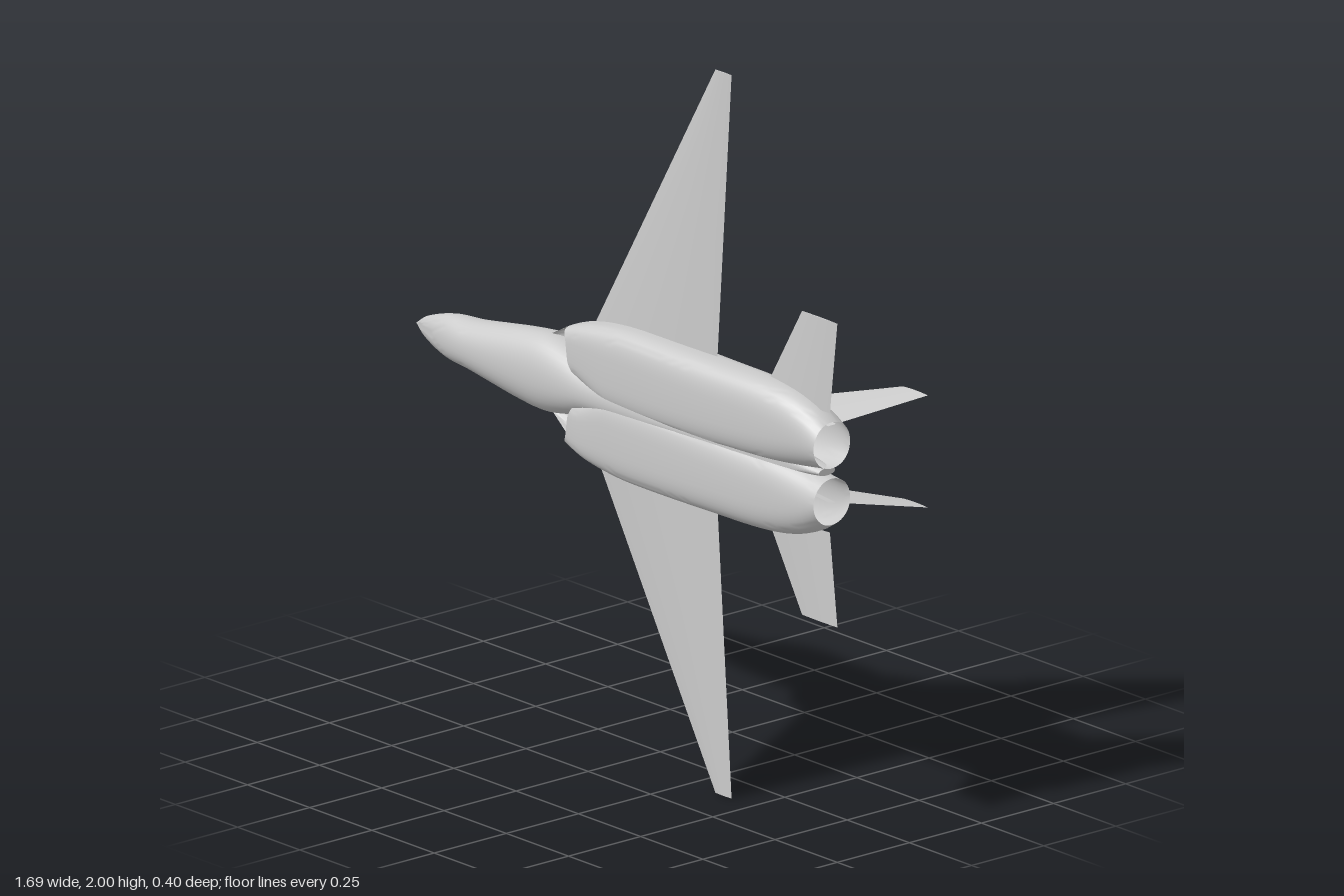
import * as THREE from 'three';
import { toCreasedNormals } from 'three/addons/utils/BufferGeometryUtils.js';

const MID = 0.115; // height (z) of the wing plane; the belly faces +z, the nose points to -x

// Smooth curve through [x, value] pairs (cubic Hermite)
function curve(...pts) {
  const slope = (i) => {
    const a = pts[Math.max(i - 1, 0)], b = pts[Math.min(i + 1, pts.length - 1)];
    return (b[1] - a[1]) / (b[0] - a[0]);
  };
  return (x) => {
    let i = 0;
    while (i < pts.length - 2 && x > pts[i + 1][0]) i++;
    const [x0, v0] = pts[i], [x1, v1] = pts[i + 1], h = x1 - x0;
    const t = THREE.MathUtils.clamp((x - x0) / h, 0, 1), t2 = t * t, t3 = t2 * t;
    return (2 * t3 - 3 * t2 + 1) * v0 + (t3 - 2 * t2 + t) * h * slope(i)
      + (3 * t2 - 2 * t3) * v1 + (t3 - t2) * h * slope(i + 1);
  };
}

// Skin a list of closed rings of [x, y, z]
function loft(rings, crease = 0.7) {
  const n = rings[0].length, index = [];
  for (let i = 0; i < rings.length - 1; i++) {
    for (let j = 0; j < n; j++) {
      const k = (j + 1) % n;
      const a = i * n + j, d = i * n + k, b = a + n, c = d + n;
      index.push(a, d, b, b, d, c);
    }
  }
  const g = new THREE.BufferGeometry();
  g.setAttribute('position', new THREE.Float32BufferAttribute(rings.flat(2), 3));
  g.setIndex(index);
  return toCreasedNormals(g, crease);
}

const spow = (v, p) => Math.sign(v) * Math.abs(v) ** p;

// Slender central body, running on between the engines
function fuselageGeometry() {
  const width = curve([-0.845, 0], [-0.8, 0.03], [-0.7, 0.06], [-0.6, 0.068], [-0.5, 0.083], [-0.4, 0.098],
    [-0.3, 0.106], [-0.2, 0.09], [-0.1, 0.065], [0.1, 0.06], [0.5, 0.045], [0.8, 0.01]);
  const top = curve([-0.845, 0.113], [-0.8, 0.092], [-0.7, 0.068], [-0.6, 0.047], [-0.4, 0.02], [-0.25, 0.001],
    [-0.1, 0.012], [0, 0.021], [0.2, 0.029], [0.5, 0.042], [0.8, 0.085]);
  const bottom = curve([-0.845, 0.117], [-0.8, 0.134], [-0.7, 0.162], [-0.6, 0.178], [-0.4, 0.187], [0, 0.19],
    [0.3, 0.188], [0.6, 0.17], [0.8, 0.14]);
  const rings = [], N = 40, S = 60;
  for (let i = 0; i <= S; i++) {
    const x = -0.845 + 1.645 * (i / S) ** 1.4;
    rings.push(Array.from({ length: N }, (_, j) => {
      const t = (j / N) * Math.PI * 2, s = Math.sin(t);
      const h = s > 0 ? bottom(x) - MID : MID - top(x);
      return [x, width(x) * spow(Math.cos(t), 0.9), MID + h * spow(s, 0.9)];
    }));
  }
  rings.push(rings[S].map(() => [0.8, 0, MID]));
  return loft(rings);
}

// Hollow engine body: swept intake lip in front, round nozzle at the back
function nacelleGeometry() {
  const outer = curve([-0.3, 0.108], [-0.2, 0.16], [-0.1, 0.19], [0, 0.205], [0.1, 0.21], [0.4, 0.208],
    [0.6, 0.206], [0.7, 0.194], [0.78, 0.167], [0.82, 0.142]);
  const inner = curve([-0.3, 0.05], [-0.14, 0.03], [0, -0.02], [0.6, -0.012], [0.82, 0.014]);
  const top = curve([-0.3, 0.108], [-0.2, 0.072], [-0.1, 0.046], [0, 0.036], [0.2, 0.031], [0.6, 0.041], [0.82, 0.05]);
  const bottom = curve([-0.3, 0.165], [-0.2, 0.175], [-0.1, 0.19], [0.2, 0.198], [0.4, 0.198], [0.6, 0.191], [0.82, 0.177]);
  const boxy = curve([-0.3, 4], [0.5, 3.2], [0.82, 2]);
  const rings = [], N = 48, S = 40;
  for (let i = 0; i <= S; i++) {
    rings.push(Array.from({ length: N }, (_, j) => {
      const t = (j / N) * Math.PI * 2, c = Math.cos(t), s = Math.sin(t);
      const lower = s > 1e-6;
      const start = lower ? -0.17 - 0.03 * c : -0.3;
      const x = start + (0.82 - start) * (i / S);
      const p = 2 / (lower ? boxy(x) : 2.1);
      const o = outer(x), n = inner(x), h = lower ? bottom(x) - MID : MID - top(x);
      const y = (o + n) / 2 + ((o - n) / 2) * spow(c, p);
      return [x, Math.max(y, 0), MID + h * spow(s, p)];
    }));
  }
  return loft(rings);
}

// Thin lens-section surface from root to tip; each end is { le, te, y, z, thick }
function foilGeometry(root, tip, thickAxis) {
  const N = 20;
  const ring = ({ le, te, y, z, thick }) => Array.from({ length: N }, (_, j) => {
    const t = (j / N) * Math.PI * 2, s = Math.sin(t);
    const x = (le + te) / 2 + ((te - le) / 2) * Math.cos(t);
    const d = (-thick / 2) * s * Math.abs(s);
    return thickAxis === 'z' ? [x, y, z + d] : [x, y + d, z];
  });
  const end = ring(tip);
  return loft([ring(root), end, end.map(() => [(tip.le + tip.te) / 2, tip.y, tip.z])]);
}

export function createModel() {
  const model = new THREE.Group();
  model.name = 'jetAircraft';
  const body = new THREE.Group();
  body.name = 'airframe';
  body.position.y = 1;
  model.add(body);

  const solid = new THREE.MeshStandardMaterial({ color: 0xcccccc });
  const shell = new THREE.MeshStandardMaterial({ color: 0xcccccc, side: THREE.DoubleSide });
  const add = (parent, name, geometry, material = solid) => {
    const mesh = new THREE.Mesh(geometry, material);
    mesh.name = name;
    parent.add(mesh);
    return mesh;
  };

  add(body, 'fuselage', fuselageGeometry());

  // Bubble canopy
  const canopy = add(body, 'canopy', new THREE.SphereGeometry(1, 40, 24));
  canopy.scale.set(0.185, 0.052, 0.069);
  canopy.position.set(-0.425, 0, 0.042);

  // Paired parts, mirrored across the centre plane
  const nacelle = nacelleGeometry();
  const wing = foilGeometry(
    { le: -0.135, te: 0.358, y: 0.17, z: MID - 0.002, thick: 0.02 },
    { le: 0.352, te: 0.417, y: 1, z: MID - 0.002, thick: 0.004 }, 'z');
  const tailplane = foilGeometry(
    { le: 0.55, te: 0.812, y: 0.165, z: MID - 0.002, thick: 0.014 },
    { le: 0.7, te: 0.842, y: 0.42, z: MID - 0.002, thick: 0.004 }, 'z');
  const fin = foilGeometry(
    { le: 0.475, te: 0.755, y: 0.105, z: 0.07, thick: 0.014 },
    { le: 0.745, te: 0.845, y: 0.155, z: -0.198, thick: 0.004 }, 'y');
  for (const side of [1, -1]) {
    const half = new THREE.Group();
    half.name = side > 0 ? 'upperHalf' : 'lowerHalf';
    half.scale.y = side;
    add(half, 'engineNacelle', nacelle, shell);
    add(half, 'wing', wing);
    add(half, 'tailplane', tailplane);
    add(half, 'tailFin', fin);
    body.add(half);
  }
  return model;
}
